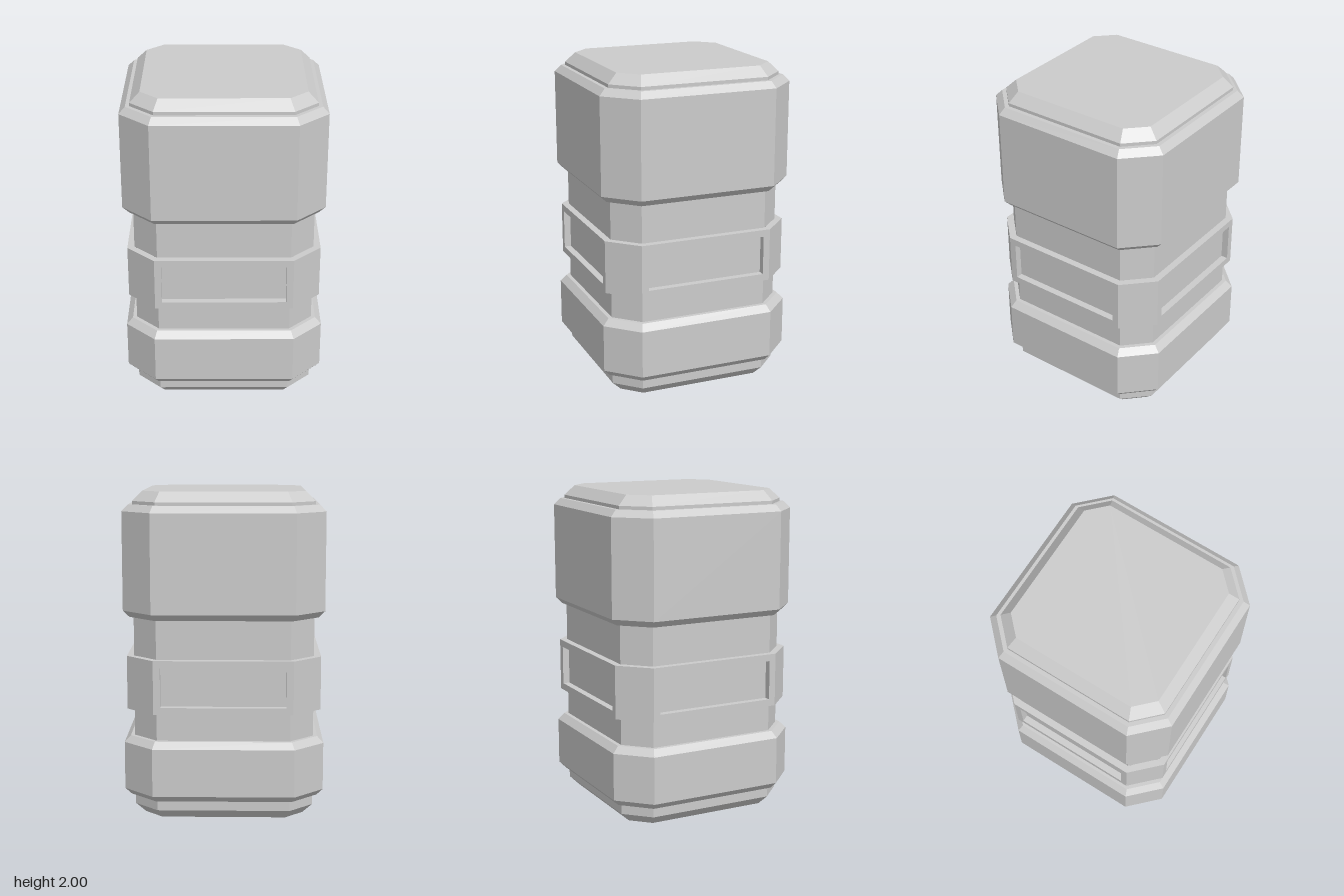
import * as THREE from 'three';

const material = new THREE.MeshStandardMaterial({ color: 0xcccccc, flatShading: true });

// Square with cut corners: h = half width, c = half length of each flat side
const ring = ([y, h, c]) => [
  [h, -c], [h, c], [c, h], [-c, h], [-h, c], [-h, -c], [-c, -h], [c, -h],
].map(([x, z]) => [x, y, z]);

// Closed solid through a stack of [y, h, c] sections, listed from bottom to top
function loft(sections) {
  const rings = sections.map(ring);
  const top = rings[rings.length - 1], bottom = rings[0];
  const positions = [];
  const tri = (...corners) => corners.forEach((p) => positions.push(...p));
  for (let r = 0; r < rings.length - 1; r++) {
    for (let i = 0; i < 8; i++) {
      const j = (i + 1) % 8, lo = rings[r], hi = rings[r + 1];
      tri(lo[j], lo[i], hi[i]);
      tri(lo[j], hi[i], hi[j]);
    }
  }
  for (let i = 1; i < 7; i++) {
    tri(bottom[0], bottom[i], bottom[i + 1]);
    tri(top[0], top[i + 1], top[i]);
  }
  const geometry = new THREE.BufferGeometry();
  geometry.setAttribute('position', new THREE.Float32BufferAttribute(positions, 3));
  geometry.computeVertexNormals();
  return geometry;
}

function addMesh(parent, name, geometry) {
  const mesh = new THREE.Mesh(geometry, material);
  mesh.name = name;
  parent.add(mesh);
  return mesh;
}

// Thick band with bevelled upper and lower rims
const bandGeometry = (y0, y1) => loft([
  [y0, 0.575, 0.415], [y0 + 0.04, 0.613, 0.43],
  [y1 - 0.04, 0.613, 0.43], [y1, 0.575, 0.415],
]);

const rectangle = (shape, x, y0, y1) =>
  shape.moveTo(-x, y0).lineTo(x, y0).lineTo(x, y1).lineTo(-x, y1).closePath();

export function createModel() {
  const model = new THREE.Group();
  model.name = 'canister';

  // Inner body with bevelled ends
  addMesh(model, 'core', loft([
    [0, 0.49, 0.38], [0.06, 0.55, 0.405], [1.94, 0.55, 0.405], [2, 0.49, 0.38],
  ]));

  // Outer shells
  addMesh(model, 'lowerBand', bandGeometry(0.125, 0.5));
  addMesh(model, 'upperBand', bandGeometry(1.24, 1.92));

  // Middle collar: a window frame on each side, a solid post on each corner
  const collar = new THREE.Group();
  collar.name = 'collar';
  model.add(collar);

  const y0 = 0.67, y1 = 1.0, h = 0.593, c = 0.422;
  const frame = rectangle(new THREE.Shape(), c, y0, y1);
  frame.holes.push(rectangle(new THREE.Path(), 0.38, 0.713, 0.957));
  const frameGeometry = new THREE.ExtrudeGeometry(frame, { depth: 0.053, bevelEnabled: false });
  frameGeometry.translate(0, 0, h - 0.053);

  const corner = new THREE.Shape([[c, -c], [c, -h], [h, -c]].map(([x, y]) => new THREE.Vector2(x, y)));
  const cornerGeometry = new THREE.ExtrudeGeometry(corner, { depth: y1 - y0, bevelEnabled: false });
  cornerGeometry.rotateX(-Math.PI / 2).translate(0, y0, 0);

  for (let i = 0; i < 4; i++) {
    addMesh(collar, 'collarFrame', frameGeometry).rotation.y = i * Math.PI / 2;
    addMesh(collar, 'collarCorner', cornerGeometry).rotation.y = i * Math.PI / 2;
  }
  return model;
}
